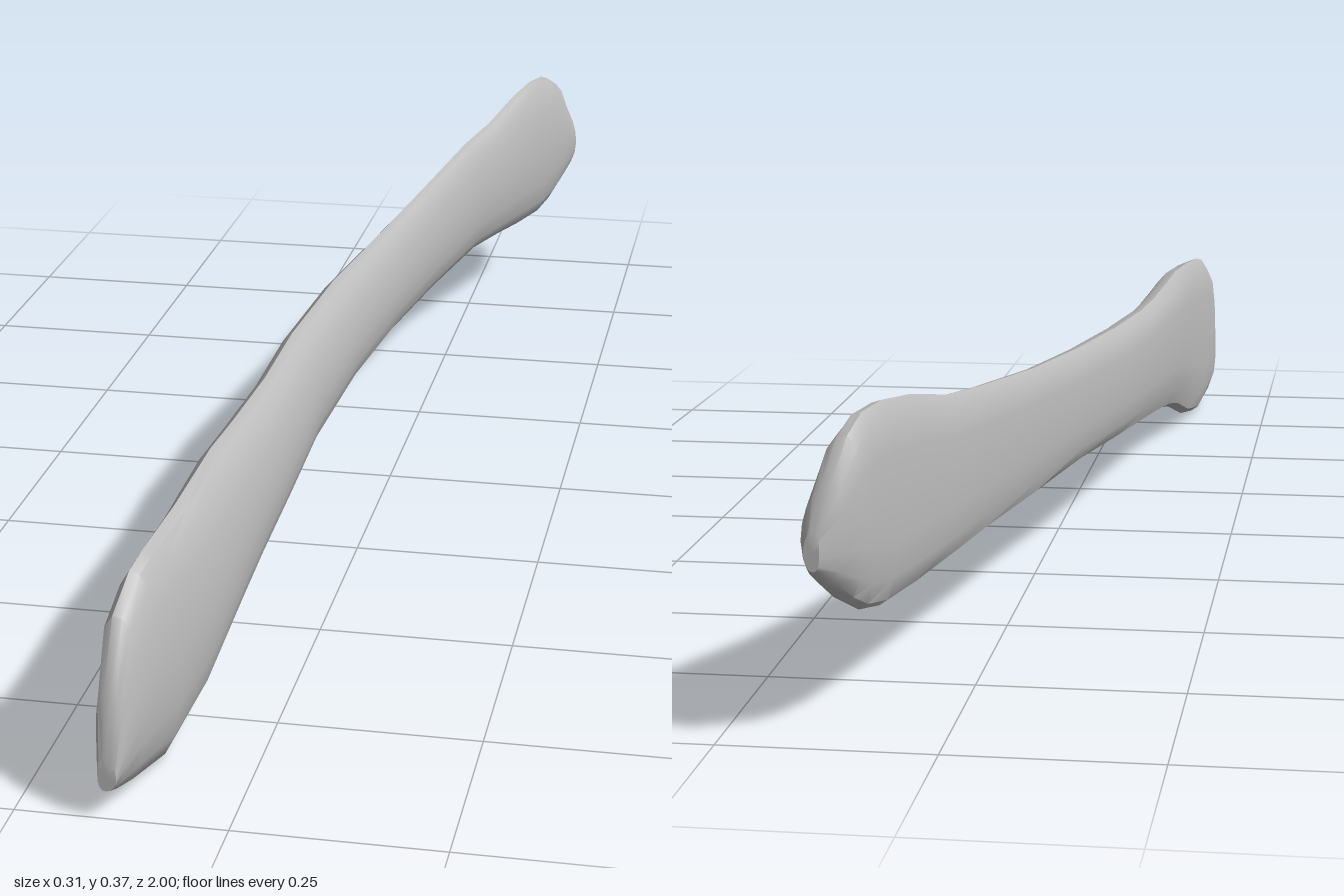
import * as THREE from 'three';
import { toCreasedNormals } from 'three/addons/utils/BufferGeometryUtils.js';

// Stations along the bone: z, bottom y, top y, min x, max x
const STATIONS = [
  [1.0, 0.035, 0.075, -0.15, -0.128],
  [0.985, 0.028, 0.15, -0.154, -0.118],
  [0.95, 0.018, 0.23, -0.155, -0.105],
  [0.9, 0.008, 0.262, -0.15, -0.095],
  [0.86, 0.0, 0.27, -0.146, -0.088],
  [0.75, 0.018, 0.278, -0.139, -0.074],
  [0.6, 0.06, 0.287, -0.135, -0.064],
  [0.5, 0.08, 0.284, -0.13, -0.061],
  [0.35, 0.1, 0.283, -0.122, -0.058],
  [0.2, 0.12, 0.29, -0.118, -0.055],
  [0.0, 0.137, 0.298, -0.1, -0.04],
  [-0.2, 0.147, 0.304, -0.068, -0.016],
  [-0.4, 0.148, 0.314, -0.035, 0.012],
  [-0.6, 0.148, 0.33, 0.0, 0.048],
  [-0.7, 0.14, 0.338, 0.024, 0.073],
  [-0.8, 0.131, 0.358, 0.05, 0.1],
  [-0.87, 0.128, 0.365, 0.068, 0.12],
  [-0.92, 0.137, 0.361, 0.08, 0.134],
  [-0.955, 0.155, 0.342, 0.088, 0.145],
  [-0.98, 0.18, 0.29, 0.105, 0.153],
  [-1.0, 0.2, 0.245, 0.128, 0.146],
];

// Cross-section: narrow top ridge, belly on the +x side, flatter -x side
const SECTION = [
  [0.3, 1], [0.52, 0.985], [0.7, 0.92], [0.86, 0.78], [0.96, 0.62], [1, 0.45],
  [0.95, 0.27], [0.82, 0.12], [0.62, 0.03], [0.42, 0], [0.22, 0.03],
  [0.08, 0.14], [0.01, 0.32], [0, 0.52], [0.02, 0.75], [0.1, 0.93],
];

function boneGeometry() {
  const n = SECTION.length;
  const positions = [];
  const index = [];
  for (const [z, y0, y1, x0, x1] of STATIONS) {
    for (const [u, v] of SECTION) {
      positions.push(x0 + (x1 - x0) * u, y0 + (y1 - y0) * v, z);
    }
  }
  // Skin between neighbouring sections
  for (let i = 0; i < STATIONS.length - 1; i++) {
    for (let j = 0; j < n; j++) {
      const k = (j + 1) % n;
      const a = i * n + j, b = i * n + k, c = a + n, d = b + n;
      index.push(a, b, c, b, d, c);
    }
  }
  // Closed ends
  const addCap = (station, front) => {
    const [z, y0, y1, x0, x1] = STATIONS[station];
    const centre = positions.length / 3;
    positions.push((x0 + x1) / 2, (y0 + y1) / 2, z);
    for (let j = 0; j < n; j++) {
      const a = station * n + j, b = station * n + (j + 1) % n;
      if (front) index.push(centre, b, a);
      else index.push(centre, a, b);
    }
  };
  addCap(0, true);
  addCap(STATIONS.length - 1, false);

  const geometry = new THREE.BufferGeometry();
  geometry.setAttribute('position', new THREE.Float32BufferAttribute(positions, 3));
  geometry.setIndex(index);
  return toCreasedNormals(geometry, 0.7);
}

export function createModel() {
  const group = new THREE.Group();
  group.name = 'longBone';
  const boneGrey = new THREE.MeshStandardMaterial({ color: 0xbcbcbc });
  boneGrey.name = 'boneGrey';
  const shaft = new THREE.Mesh(boneGeometry(), boneGrey);
  shaft.name = 'boneShaft';
  group.add(shaft);
  return group;
}
